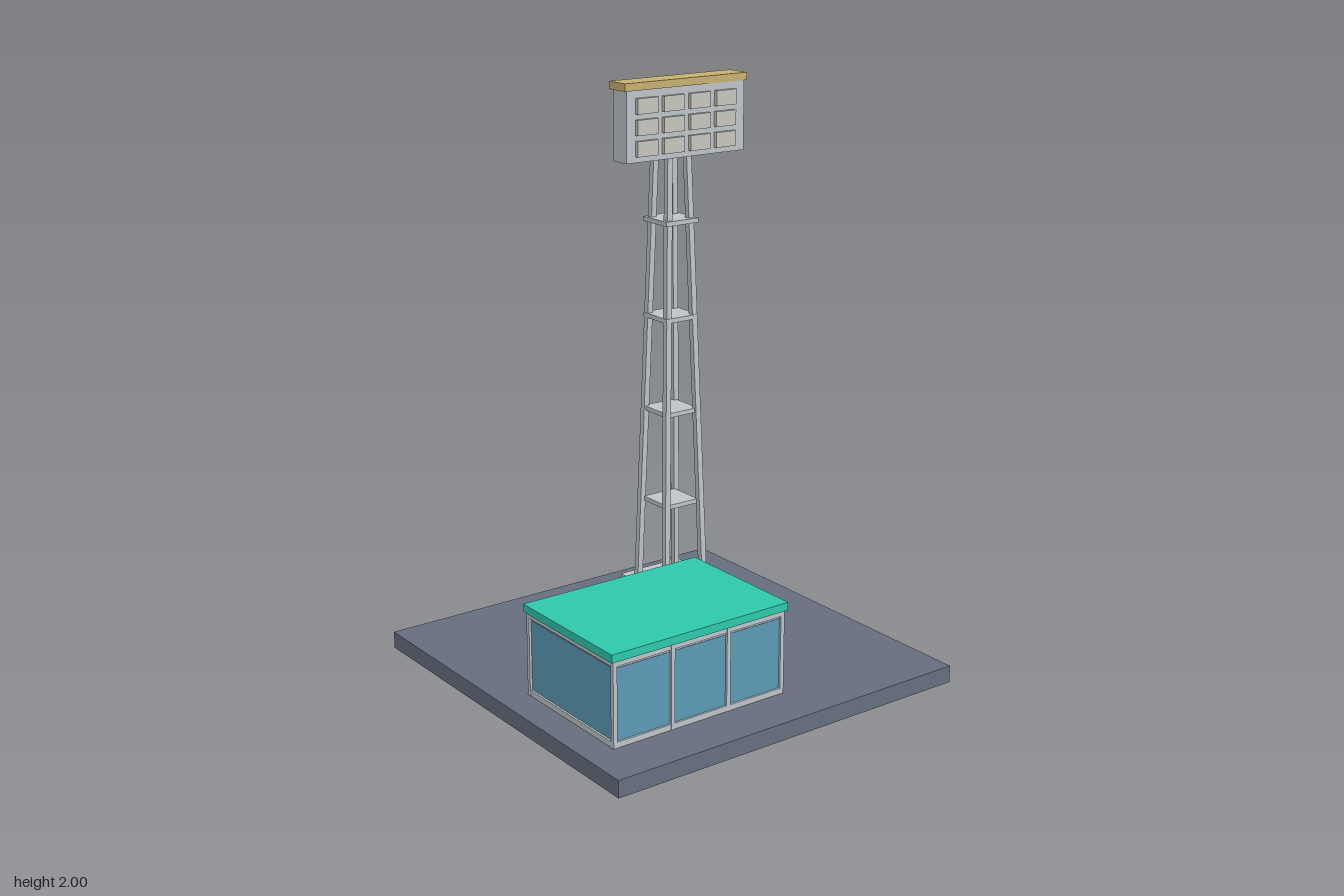
import * as THREE from 'three';

const material = (name, color) => {
  const m = new THREE.MeshStandardMaterial({ color });
  m.name = name;
  return m;
};

export function createModel() {
  const model = new THREE.Group();
  model.name = 'floodlightStation';
  const slate = material('slate', 0x666f7f);
  const grey = material('paleGrey', 0xbfc5c9);
  const teal = material('teal', 0x2ec9ad);
  const glass = material('blueGlass', 0x5c9ab8);
  const gold = material('sandGold', 0xc8b270);
  const lampGlass = material('warmLampGrey', 0xc8c7be);

  const group = (name) => {
    const g = new THREE.Group();
    g.name = name;
    model.add(g);
    return g;
  };
  // Box given by its lower and upper limits on each axis
  const box = (parent, name, mat, [x0, x1], [y0, y1], [z0, z1]) => {
    const mesh = new THREE.Mesh(new THREE.BoxGeometry(x1 - x0, y1 - y0, z1 - z0), mat);
    mesh.position.set((x0 + x1) / 2, (y0 + y1) / 2, (z0 + z1) / 2);
    mesh.name = name;
    parent.add(mesh);
    return mesh;
  };
  const around = (c, size) => [c - size / 2, c + size / 2];

  box(model, 'groundSlab', slate, [-0.69, 0.69], [0, 0.06], [-0.69, 0.69]);

  // Glazed cabin
  const cabin = group('cabin');
  const X0 = -0.585, X1 = 0.097, Z0 = 0.025, Z1 = 0.516, bar = 0.015;
  box(cabin, 'roof', teal, [-0.593, 0.107], [0.353, 0.381], [0.02, 0.521]);
  box(cabin, 'glazing', glass, [X0 + 0.008, X1 - 0.008], [0.075, 0.326], [Z0 + 0.008, Z1 - 0.008]);
  box(cabin, 'wallHead', grey, [X0 + 0.01, X1 - 0.01], [0.326, 0.353], [Z0 + 0.01, Z1 - 0.01]);

  // Window posts: four along the front and four along the back
  for (const z of [Z0 + bar / 2, Z1 - bar / 2])
    for (let i = 0; i < 4; i++) {
      const x = X0 + bar / 2 + (i * (X1 - X0 - bar)) / 3;
      box(cabin, 'windowPost', grey, around(x, bar), [0.06, 0.353], around(z, bar));
    }
  // Bottom and top rails on all four sides
  for (const [y0, y1] of [[0.06, 0.08], [0.335, 0.353]]) {
    for (const z of [Z0 + bar / 2, Z1 - bar / 2])
      box(cabin, 'longRail', grey, [X0 + bar, X1 - bar], [y0, y1], around(z, bar - 0.002));
    for (const x of [X0 + bar / 2, X1 - bar / 2])
      box(cabin, 'shortRail', grey, around(x, bar - 0.002), [y0, y1], [Z0 + bar, Z1 - bar]);
  }

  // Tapering tower on its footing
  const tower = group('tower');
  const cx = 0.208, cz = -0.255;
  box(tower, 'footing', grey, around(cx, 0.256), [0.06, 0.197], around(cz, 0.256));
  const legBottom = 0.19, legTop = 1.79;
  for (const sx of [-1, 1])
    for (const sz of [-1, 1]) {
      const geo = new THREE.BoxGeometry(0.021, legTop - legBottom, 0.021);
      const p = geo.attributes.position;
      for (let i = 0; i < p.count; i++) {
        const spread = p.getY(i) > 0 ? 0.038 : 0.083;
        p.setX(i, p.getX(i) + sx * spread);
        p.setZ(i, p.getZ(i) + sz * spread);
      }
      geo.computeVertexNormals();
      const leg = new THREE.Mesh(geo, grey);
      leg.name = 'towerLeg';
      leg.position.set(cx, (legBottom + legTop) / 2, cz);
      tower.add(leg);
    }
  for (let i = 0; i < 4; i++)
    box(tower, 'bracePlate', grey, around(cx, 0.136), around(0.492 + i * 0.339, 0.016), around(cz, 0.136));

  // Floodlight panel with a 4 by 3 grid of lamps
  const lights = group('floodlightPanel');
  box(lights, 'panel', grey, [-0.037, 0.454], [1.736, 1.976], [-0.245, -0.169]);
  box(lights, 'panelCap', gold, [-0.045, 0.462], [1.974, 2], [-0.256, -0.165]);
  for (let c = 0; c < 4; c++)
    for (let r = 0; r < 3; r++)
      box(lights, 'lamp', lampGlass, around(0.041 + c * 0.109, 0.084),
        around(1.782 + r * 0.0705, 0.052), [-0.175, -0.155]);

  return model;
}
